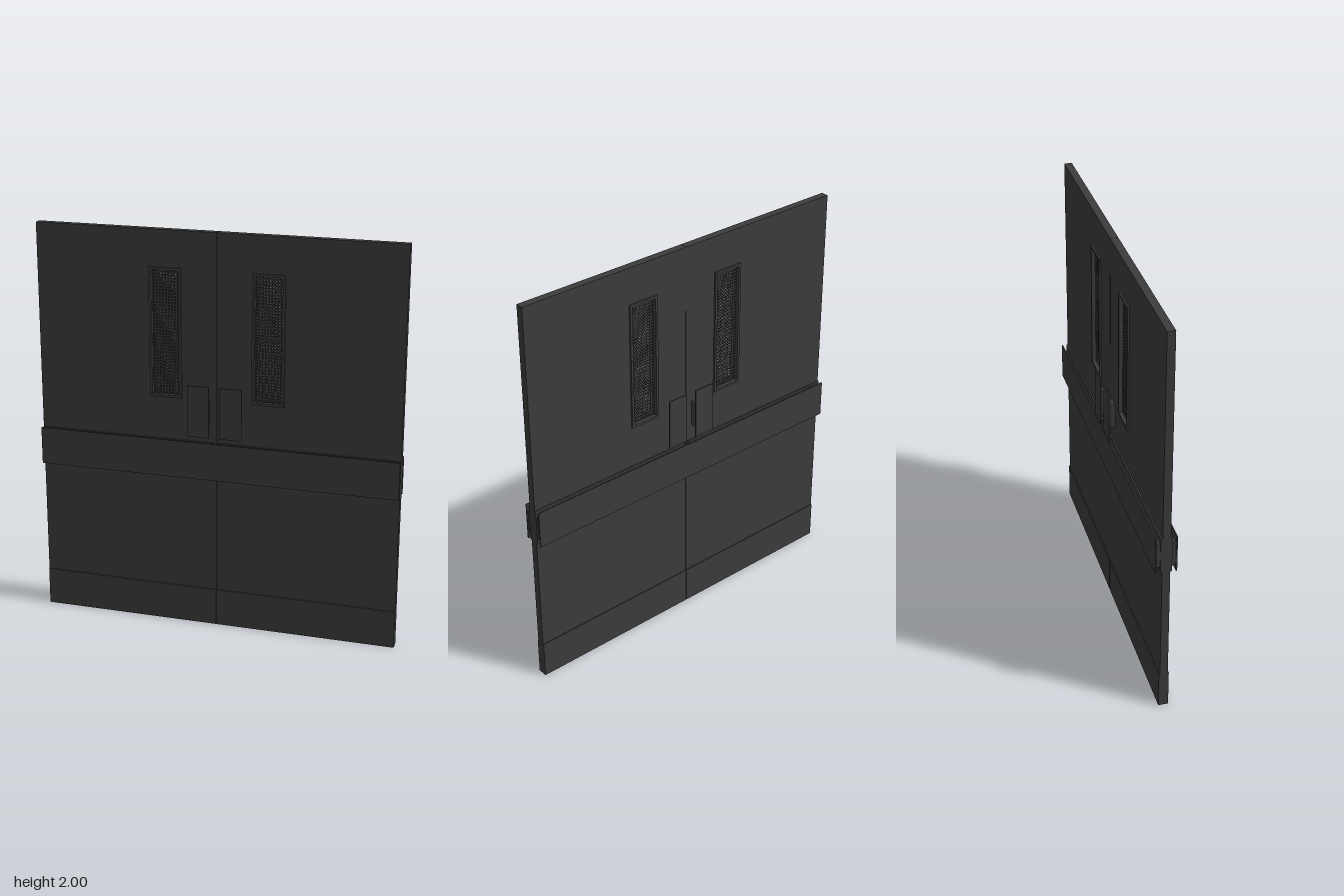
import * as THREE from 'three';
import { mergeGeometries } from 'three/addons/utils/BufferGeometryUtils.js';

const material = new THREE.MeshStandardMaterial({ color: 0x3c3c3c, flatShading: true });

// Axis-aligned box given by its limits
function boxGeometry(x0, x1, y0, y1, z0, z1) {
  return new THREE.BoxGeometry(x1 - x0, y1 - y0, z1 - z0)
    .translate((x0 + x1) / 2, (y0 + y1) / 2, (z0 + z1) / 2);
}

function rectangle(Type, x0, x1, y0, y1) {
  const r = new Type();
  r.moveTo(x0, y0);
  r.lineTo(x1, y0);
  r.lineTo(x1, y1);
  r.lineTo(x0, y1);
  r.closePath();
  return r;
}

// Panel with one rectangular opening, centred on z = 0
function openPanel(outer, inner, halfDepth) {
  const shape = rectangle(THREE.Shape, ...outer);
  shape.holes.push(rectangle(THREE.Path, ...inner));
  return new THREE.ExtrudeGeometry(shape, { depth: halfDepth * 2, bevelEnabled: false })
    .translate(0, 0, -halfDepth);
}

function add(parent, name, geometry) {
  const mesh = new THREE.Mesh(geometry, material);
  mesh.name = name;
  parent.add(mesh);
  return mesh;
}

// Square grid of wires in the window
function wireGrid(x0, x1, y0, y1, z) {
  const columns = 9, rows = 40, half = 0.004, parts = [];
  for (let i = 0; i <= columns; i++) {
    const x = x0 + (x1 - x0) * i / columns;
    parts.push(boxGeometry(x - half, x + half, y0, y1, z - 0.001, z + 0.001));
  }
  for (let j = 0; j <= rows; j++) {
    const y = y0 + (y1 - y0) * j / rows;
    parts.push(boxGeometry(x0, x1, y - half, y + half, z - 0.0012, z + 0.0012));
  }
  return mergeGeometries(parts);
}

// One door leaf: side is +1 for the left leaf, -1 for the right
function buildLeaf(side) {
  const leaf = new THREE.Group();
  leaf.name = side > 0 ? 'leftLeaf' : 'rightLeaf';
  const span = (a, b) => (side > 0 ? [a, b] : [-b, -a]);
  const [wx0, wx1] = span(0.175, 0.335);
  const [gx0, gx1] = span(0.188, 0.322);
  const whole = span(0.001, 0.905);

  add(leaf, 'doorPanel', openPanel([...whole, 0, 2], [wx0 + 0.004, wx1 - 0.004, 1.184, 1.816], 0.019));
  add(leaf, 'windowFrame', openPanel([wx0, wx1, 1.18, 1.82], [gx0, gx1, 1.193, 1.807], 0.028));
  add(leaf, 'kickPlate', boxGeometry(...whole, 0, 0.19, -0.024, 0.024));
  add(leaf, 'railBacking', boxGeometry(...span(0.012, 0.905), 0.785, 0.968, -0.027, 0.027));
  add(leaf, 'railCore', boxGeometry(...span(0.012, 0.9), 0.812, 0.935, -0.046, 0.046));

  // Wire glass layers and push plates on both faces
  for (const face of [1, -1]) {
    add(leaf, 'wireMesh', wireGrid(gx0, gx1, 1.193, 1.807, face * 0.008));
    const plate = add(leaf, 'pushPlate', boxGeometry(...span(0.028, 0.136), 1.003, 1.26, -0.003, 0.003));
    plate.position.z = face * 0.058;
  }
  add(leaf, 'pushPlateMount', boxGeometry(...span(0.036, 0.086), 1.05, 1.18, -0.056, 0.056));
  return leaf;
}

export function createModel() {
  const model = new THREE.Group();
  model.name = 'doubleDoor';
  model.add(buildLeaf(1), buildLeaf(-1));

  // Long cover plates of the crash rail
  for (const face of [1, -1]) {
    const cover = add(model, 'railCover', boxGeometry(-0.905, 0.905, 0.782, 0.97, -0.003, 0.003));
    cover.position.z = face * 0.048;
  }
  return model;
}
